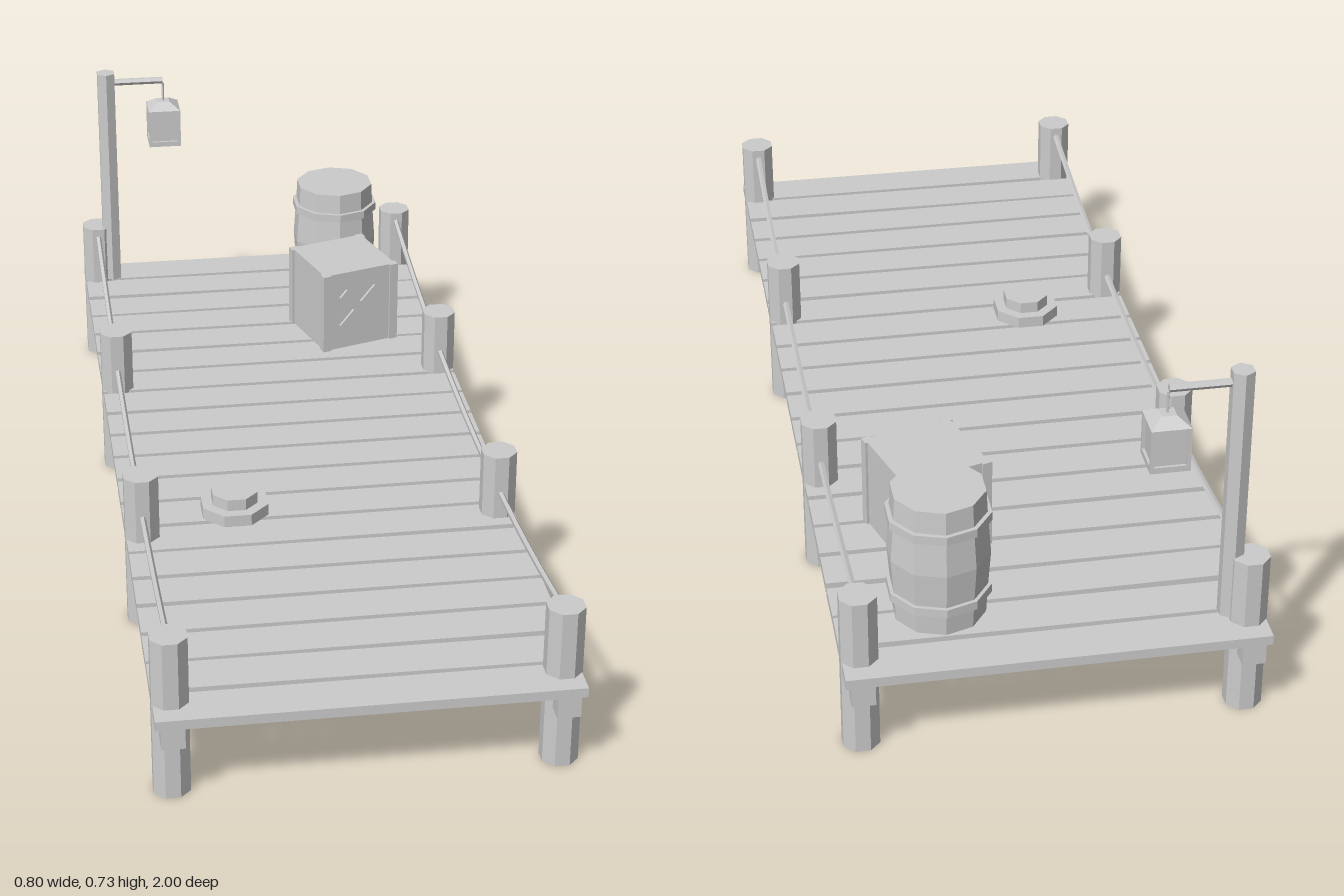
import * as THREE from 'three';

const wood = new THREE.MeshStandardMaterial({ color: 0xcccccc, flatShading: true });
wood.name = 'plainGrey';

function add(parent, name, geometry, x = 0, y = 0, z = 0) {
  const mesh = new THREE.Mesh(geometry, wood);
  mesh.name = name;
  mesh.position.set(x, y, z);
  parent.add(mesh);
  return mesh;
}
function subgroup(parent, name, x = 0, y = 0, z = 0) {
  const g = new THREE.Group();
  g.name = name;
  g.position.set(x, y, z);
  parent.add(g);
  return g;
}
const box = (w, h, d) => new THREE.BoxGeometry(w, h, d);
const prism = (rTop, rBottom, h, sides, turn = 0) =>
  new THREE.CylinderGeometry(rTop, rBottom, h, sides).rotateY(turn);

export function createModel() {
  const dock = new THREE.Group();
  dock.name = 'dock';

  // Deck planks, each slightly askew
  let seed = 7;
  const rand = () => (seed = (seed * 16807) % 2147483647) / 2147483647 - 0.5;
  const deck = subgroup(dock, 'deck');
  for (let i = 0; i < 20; i++) {
    const askew = i > 0 && i < 19 ? rand() * 0.014 : 0;
    add(deck, 'plank', box(0.8, 0.02, 0.088), 0, 0.185, -0.956 + i * 0.10063).rotation.y = askew;
  }

  // Side beams, posts and sagging ropes
  for (const side of [-1, 1]) {
    const x = side * 0.367;
    add(dock, 'beam', box(0.045, 0.045, 1.99), x, 0.152, 0);
    for (const z of [-0.93, -0.333, 0.333, 0.93]) {
      add(dock, 'post', prism(0.0375, 0.0375, 0.335, 8, Math.PI / 8), x, 0.1675, z);
    }
    const points = [];
    for (let i = -6; i <= 6; i++) {
      const t = i / 6;
      points.push(new THREE.Vector3(x, 0.238 + 0.08 * t * t, 0.93 * t));
    }
    add(dock, 'rope', new THREE.TubeGeometry(new THREE.CatmullRomCurve3(points), 18, 0.0065, 5));
  }

  // Barrel with two hoops
  const barrel = subgroup(dock, 'barrel', 0.198, 0.195, -0.805);
  const profile = [[0, 0], [0.09, 0], [0.093, 0.055], [0.099, 0.136], [0.093, 0.217], [0.09, 0.272], [0, 0.272]];
  add(barrel, 'barrelBody', new THREE.LatheGeometry(profile.map(([r, y]) => new THREE.Vector2(r, y)), 10));
  for (const y of [0.055, 0.217]) add(barrel, 'barrelHoop', prism(0.101, 0.101, 0.018, 10), 0, y, 0);

  // Crate with corner posts and a crossed brace on its front
  const crate = subgroup(dock, 'crate', 0.182, 0.29, -0.556);
  crate.rotation.y = 0.3;
  add(crate, 'crateBody', box(0.18, 0.19, 0.18));
  for (const x of [-1, 1]) {
    for (const z of [-1, 1]) add(crate, 'crateCorner', box(0.02, 0.19, 0.02), x * 0.085, 0, z * 0.085);
    add(crate, 'crateBrace', box(0.125, 0.025, 0.008), 0, 0, 0.092).rotation.z = x * Math.PI / 4;
  }

  // Coil of rope on the deck
  const coil = subgroup(dock, 'ropeCoil', -0.17, 0.195, 0.26);
  add(coil, 'coilLower', prism(0.073, 0.073, 0.025, 8, Math.PI / 8), 0, 0.0125, 0);
  add(coil, 'coilUpper', prism(0.05, 0.05, 0.025, 8, Math.PI / 8), 0, 0.0375, 0);

  // Lamp post with arm and hook
  add(dock, 'lampPost', prism(0.023, 0.023, 0.53, 6), -0.335, 0.465, -0.916);
  add(dock, 'lampArm', prism(0.008, 0.008, 0.135, 6).rotateZ(Math.PI / 2), -0.268, 0.705, -0.916);
  add(dock, 'lampHook', prism(0.003, 0.003, 0.05, 5), -0.2, 0.673, -0.916);

  // Lantern: core, corner frame, base and sloped cap
  const lantern = subgroup(dock, 'lantern', -0.2, 0.55, -0.916);
  const quarter = Math.PI / 4;
  add(lantern, 'lanternGlass', box(0.064, 0.088, 0.064), 0, 0.046, 0);
  add(lantern, 'lanternBase', box(0.075, 0.012, 0.075), 0, 0.006, 0);
  add(lantern, 'lanternCap', prism(0.02, 0.053, 0.016, 4, quarter), 0, 0.097, 0);
  for (const x of [-1, 1]) {
    for (const z of [-1, 1]) add(lantern, 'lanternCorner', box(0.008, 0.088, 0.008), x * 0.0335, 0.045, z * 0.0335);
  }
  return dock;
}
